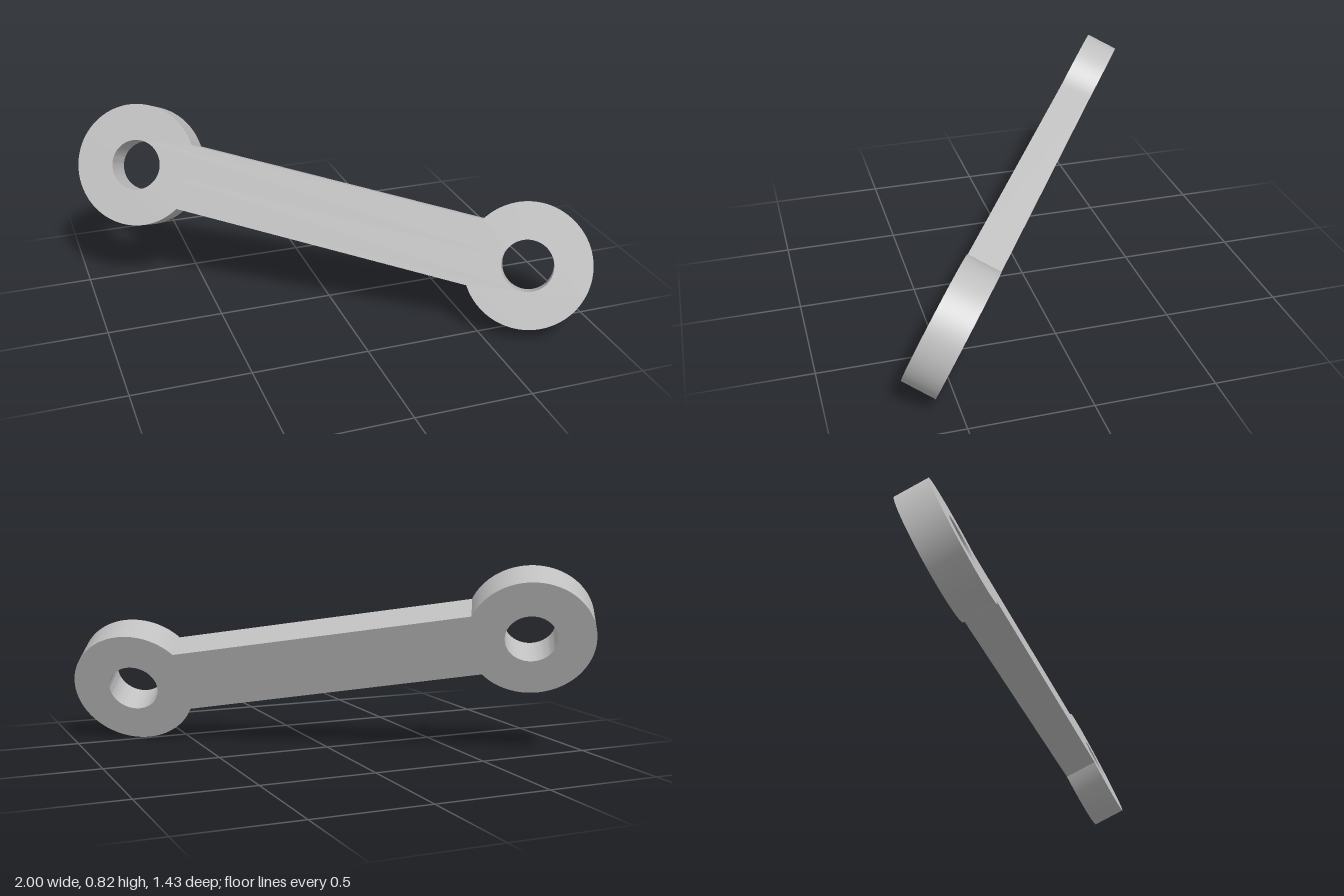
import * as THREE from 'three';
import { toCreasedNormals } from 'three/addons/utils/BufferGeometryUtils.js';

export function createModel() {
  const group = new THREE.Group();
  group.name = 'connectingLink';
  const steel = new THREE.MeshStandardMaterial({ color: 0xbfbfbf });
  steel.name = 'grey steel';

  const halfSpan = 0.885, eyeRadius = 0.27, holeRadius = 0.11, barHalf = 0.145, thickness = 0.148;
  const a = Math.asin(barHalf / eyeRadius);

  // Outline: two round eyes joined by a straight bar
  const outline = new THREE.Shape();
  outline.absarc(halfSpan, 0, eyeRadius, -Math.PI + a, Math.PI - a, false);
  outline.absarc(-halfSpan, 0, eyeRadius, a, 2 * Math.PI - a, false);

  // Pin holes
  for (const s of [-1, 1]) {
    const hole = new THREE.Path();
    hole.absarc(s * halfSpan, 0, holeRadius, 0, 2 * Math.PI, true);
    outline.holes.push(hole);
  }

  const plate = new THREE.ExtrudeGeometry(outline, { depth: thickness, bevelEnabled: false, curveSegments: 36 });
  plate.translate(0, 0, -thickness / 2);
  const link = new THREE.Mesh(toCreasedNormals(plate, 0.5), steel);
  link.name = 'linkPlate';

  // Tilted pose: length, width and thickness directions
  const along = new THREE.Vector3(0.82, -0.151, 0.553).normalize();
  const across = new THREE.Vector3(-0.46, 0.405, 0.79).cross(along).normalize();
  const normal = along.clone().cross(across);
  link.quaternion.setFromRotationMatrix(new THREE.Matrix4().makeBasis(along, across, normal));
  link.position.y = 0.411;
  group.add(link);
  return group;
}
